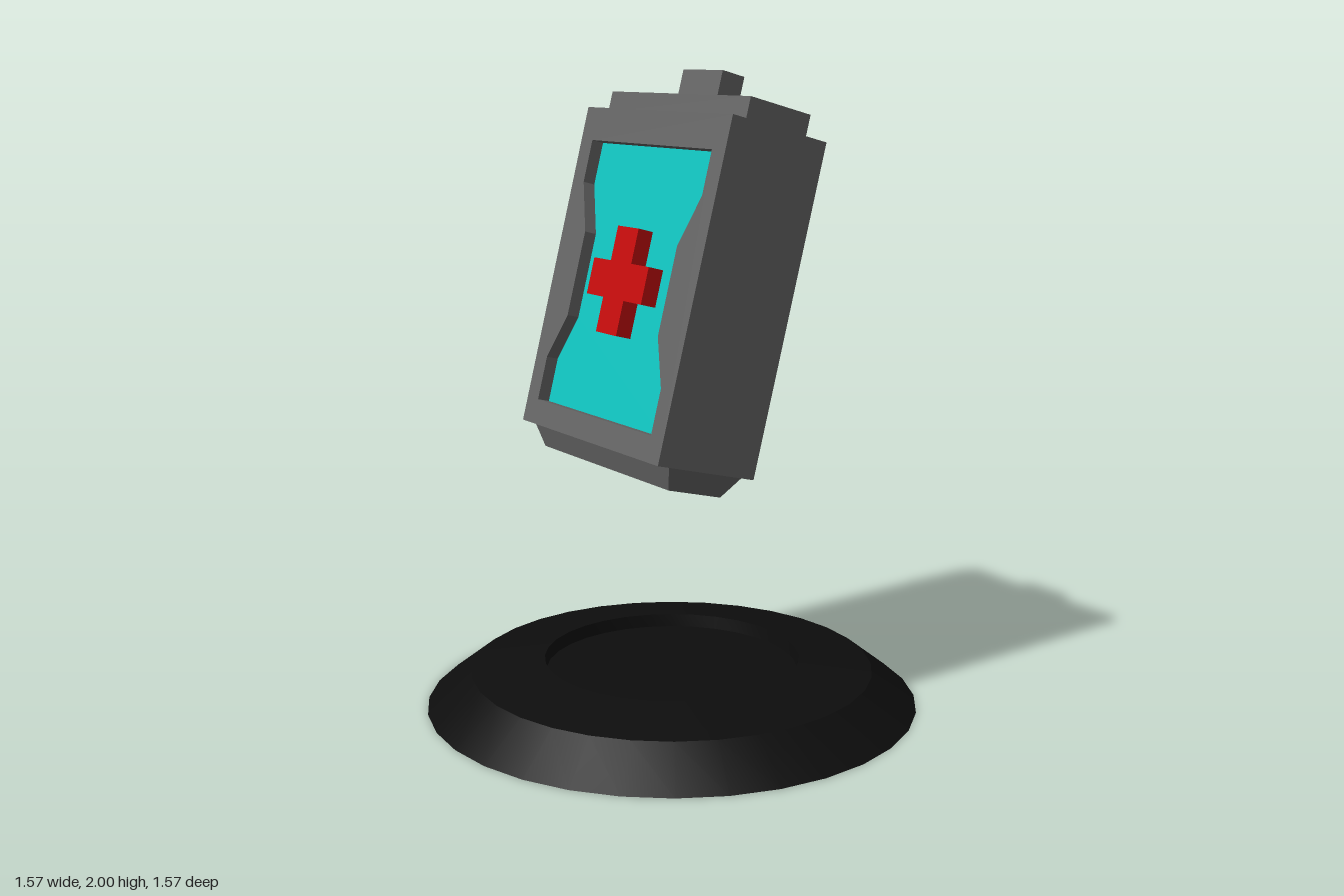
import * as THREE from 'three';
import { toCreasedNormals } from 'three/addons/utils/BufferGeometryUtils.js';

const mat = (name, color) => {
  const m = new THREE.MeshStandardMaterial({ color });
  m.name = name;
  return m;
};

function add(parent, name, geometry, material, x = 0, y = 0, z = 0) {
  const mesh = new THREE.Mesh(geometry, material);
  mesh.name = name;
  mesh.position.set(x, y, z);
  parent.add(mesh);
  return mesh;
}

const points = (list) => list.map(([x, y]) => new THREE.Vector2(x, y));
const extrude = (shape, depth) => new THREE.ExtrudeGeometry(shape, { depth, bevelEnabled: false });

export function createModel() {
  const grey = mat('grey casing', 0x666666);
  const teal = mat('teal panel', 0x10c5c0);
  const red = mat('red cross', 0xc60c0c);
  const black = mat('black base', 0x0d0d0d);

  const model = new THREE.Group();
  model.name = 'medicalPackOnBase';

  // Round base with a shallow sunken top
  const profile = points([[0, 0], [0.787, 0], [0.645, 0.11], [0.41, 0.142], [0.405, 0.1], [0, 0.1]]);
  add(model, 'base', toCreasedNormals(new THREE.LatheGeometry(profile, 32), 0.4), black);

  // Floating, tilted pack
  const pack = new THREE.Group();
  pack.name = 'pack';
  pack.position.set(-0.014, 1.34, 0);
  pack.rotation.z = -0.2555;
  model.add(pack);

  const W = 0.178, H = 0.513, D = 0.39, recess = 0.045;
  const floor = W - recess;
  add(pack, 'casingCore', new THREE.BoxGeometry(floor * 2, H * 2, D * 2), grey);
  add(pack, 'lid', new THREE.BoxGeometry(0.228, 0.067, 0.738), grey, 0, H + 0.0335);
  add(pack, 'topKnob', new THREE.BoxGeometry(0.084, 0.092, 0.208), grey, 0, H + 0.113);

  // Foot narrows towards its underside
  const foot = new THREE.BoxGeometry(0.27, 0.07, 0.77);
  const p = foot.attributes.position;
  for (let i = 0; i < p.count; i++) {
    if (p.getY(i) < 0) p.setXYZ(i, p.getX(i) * 0.71, p.getY(i), p.getZ(i) * 0.92);
  }
  const flatFoot = foot.toNonIndexed();
  flatFoot.computeVertexNormals();
  add(pack, 'foot', flatFoot, grey, 0, -H - 0.035);

  // Waisted window outline
  const half = [[0.325, -0.435], [0.325, -0.296], [0.255, -0.151], [0.255, 0.118], [0.325, 0.273], [0.325, 0.408]];
  const outline = points([...half, ...half.map(([x, y]) => [-x, y]).reverse()]);

  // Frame with the window cut out
  const frame = new THREE.Shape(points([[-D, -H], [D, -H], [D, H], [-D, H]]));
  frame.holes.push(new THREE.Path(outline));

  // Cross outline
  const a = 0.152, b = 0.165, w = 0.057;
  const cross = new THREE.Shape(points([
    [-w, -b], [w, -b], [w, -w], [a, -w], [a, w], [w, w],
    [w, b], [-w, b], [-w, w], [-a, w], [-a, -w], [-w, -w],
  ]));

  // The same window and cross on both broad sides
  for (const side of [1, -1]) {
    const face = new THREE.Group();
    face.name = side > 0 ? 'leftFace' : 'rightFace';
    face.rotation.y = side * Math.PI / 2;
    pack.add(face);
    add(face, 'windowFrame', extrude(frame, recess), grey, 0, 0, floor);
    add(face, 'windowPanel', extrude(new THREE.Shape(outline), 0.004), teal, 0, 0, floor);
    add(face, 'cross', extrude(cross, 0.055), red, 0, -0.014, floor + 0.002);
  }
  return model;
}
